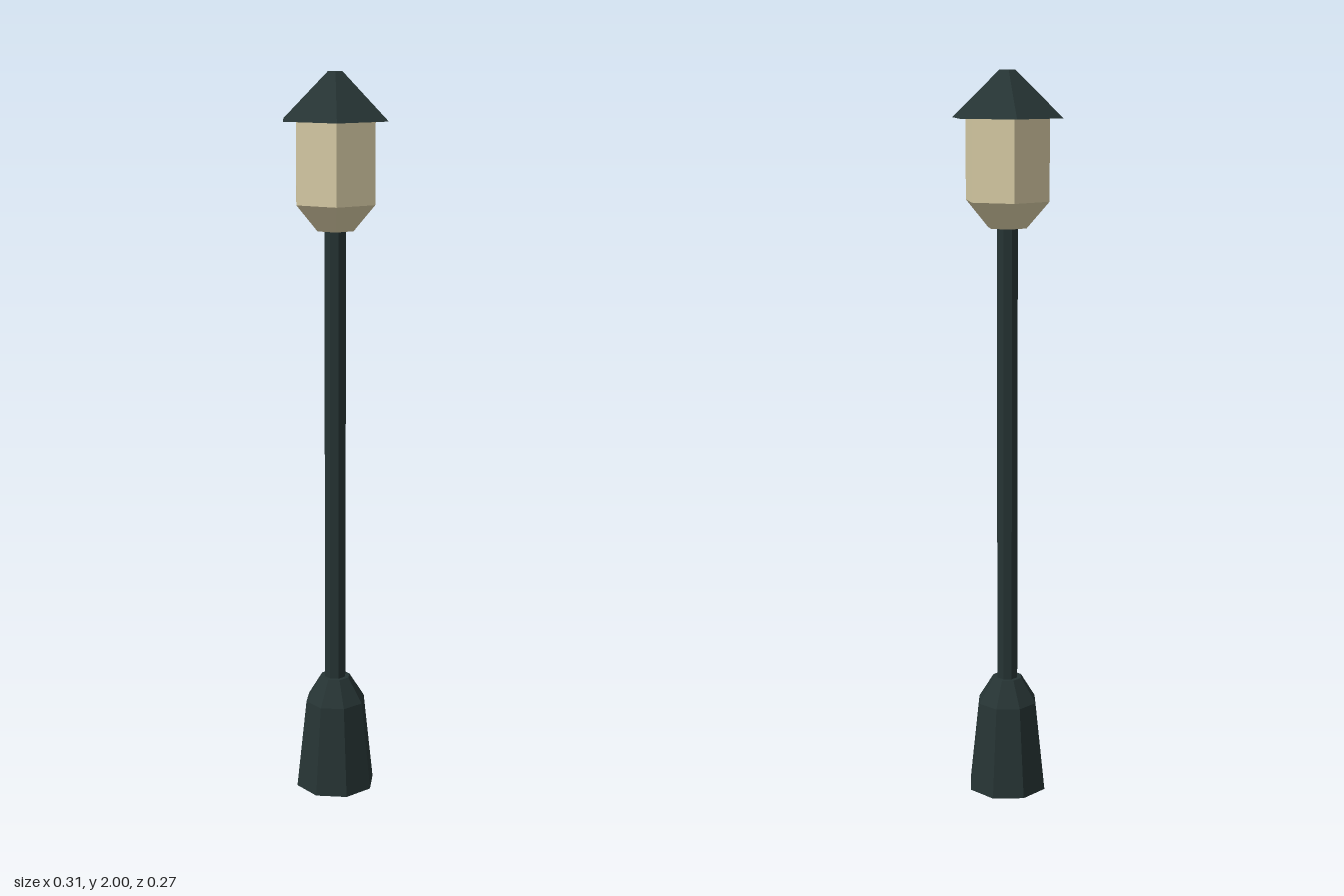
import * as THREE from 'three';

// Faceted solid of revolution from [radius, height] points, bottom to top
function faceted(name, points, sides, turn, material) {
  const profile = points.map(([r, y]) => new THREE.Vector2(r, y));
  const geometry = new THREE.LatheGeometry(profile, sides, turn).toNonIndexed();
  geometry.computeVertexNormals();
  const mesh = new THREE.Mesh(geometry, material);
  mesh.name = name;
  return mesh;
}

export function createModel() {
  const iron = new THREE.MeshStandardMaterial({ color: 0x263434 });
  iron.name = 'dark iron';
  const glass = new THREE.MeshStandardMaterial({ color: 0xd6caa4 });
  glass.name = 'cream glass';

  const hexTurn = Math.PI / 6; // corners point to left and right
  const lamp = new THREE.Group();
  lamp.name = 'streetLamp';

  // Tapered octagonal foot with a sloped shoulder
  lamp.add(faceted('base', [[0, 0], [0.113, 0], [0.085, 0.255], [0.042, 0.325], [0, 0.325]], 8, 0, iron));

  // Slim octagonal post
  lamp.add(faceted('pole', [[0, 0.32], [0.03, 0.32], [0.03, 1.6], [0, 1.6]], 8, 0, iron));

  // Hexagonal lantern with a narrowed underside
  lamp.add(faceted('lantern', [[0, 1.588], [0.055, 1.588], [0.119, 1.66], [0.119, 1.877], [0, 1.877]], 6, hexTurn, glass));

  // Hexagonal roof with a small flat top
  lamp.add(faceted('roof', [[0, 1.876], [0.157, 1.876], [0.022, 2], [0, 2]], 6, hexTurn, iron));

  return lamp;
}
